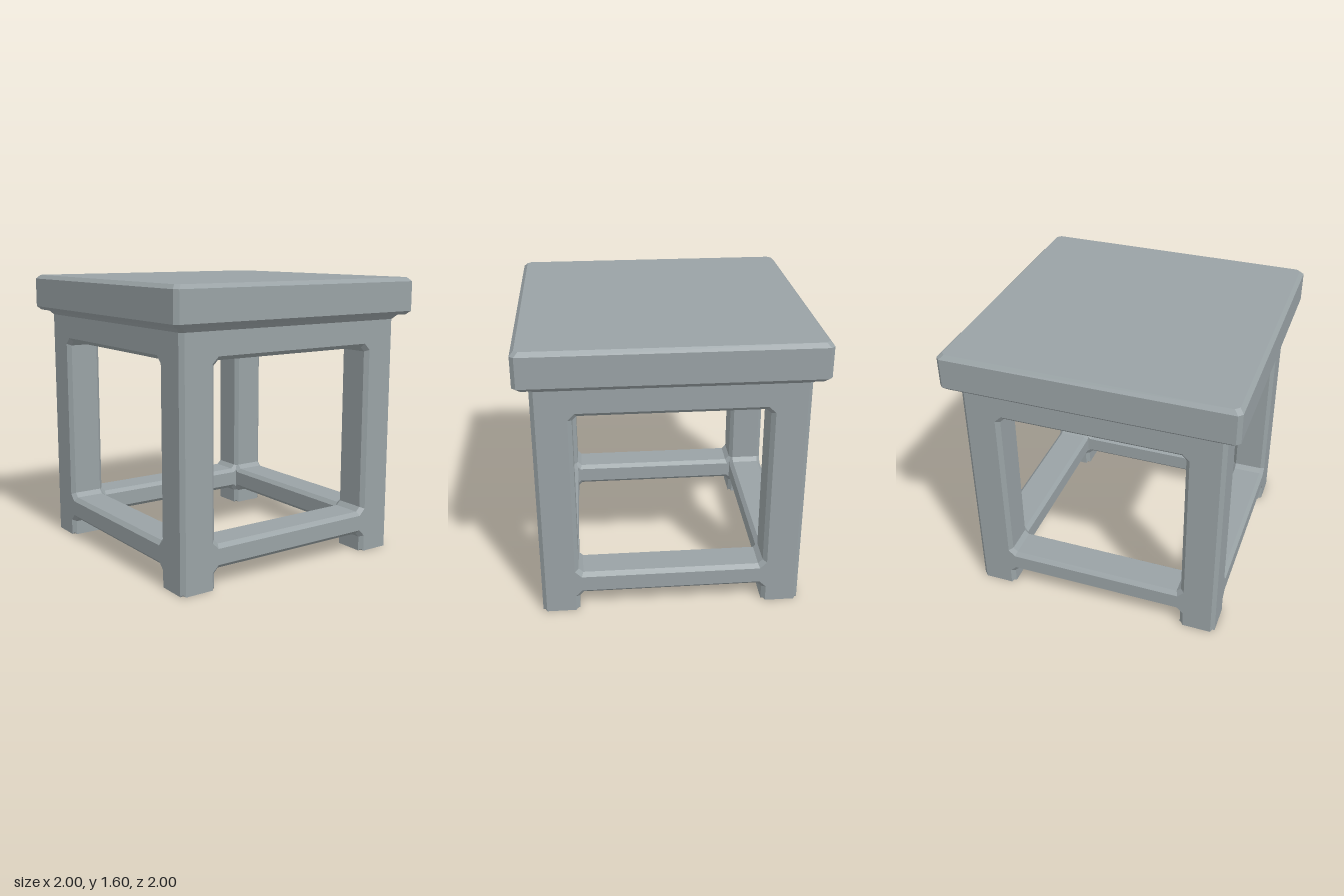
import * as THREE from 'three';

const OUTER = 0.73;   // half width of the frame
const INNER = 0.52;   // half width of the openings
const BEVEL = 0.022;
const FILLET = 0.025; // chamfer in the inside corners

const grey = new THREE.MeshStandardMaterial({ color: 0x99a2a5 });
grey.name = 'stoneGrey';

const points = (list) => list.map(([x, y]) => new THREE.Vector2(x, y));

// One bevelled side: two legs, stretcher and apron; neighbours share the corner legs
function sideFrameGeometry() {
  const a = INNER, b = INNER - FILLET, k = FILLET;
  const shape = new THREE.Shape(points([
    [-OUTER, 0], [-a, 0], [-a, 0.11 - k], [-b, 0.11], [b, 0.11], [a, 0.11 - k],
    [a, 0], [OUTER, 0], [OUTER, 1.395], [-OUTER, 1.395],
  ]));
  const low = 0.243, high = 1.21;
  shape.holes.push(new THREE.Path(points([
    [-b, low], [-a, low + k], [-a, high - k], [-b, high],
    [b, high], [a, high - k], [a, low + k], [b, low],
  ])));
  const geometry = new THREE.ExtrudeGeometry(shape, {
    depth: OUTER - INNER - 2 * BEVEL, bevelEnabled: true, bevelSegments: 1,
    bevelThickness: BEVEL, bevelSize: BEVEL, bevelOffset: -BEVEL,
  });
  return geometry.translate(0, 0, INNER + BEVEL);
}

// Square rings with cut corners, joined upwards and closed at the top
function slabGeometry(rings) {
  const loops = rings.map(([h, y]) => {
    const m = h - BEVEL;
    return [[m, h], [h, m], [h, -m], [m, -h], [-m, -h], [-h, -m], [-h, m], [-m, h]]
      .map(([x, z]) => [x, y, z]);
  });
  const pos = [];
  const add = (...corners) => corners.forEach((p) => pos.push(...p));
  for (let r = 0; r < loops.length - 1; r++) {
    for (let i = 0; i < 8; i++) {
      const j = (i + 1) % 8;
      const lower = loops[r], upper = loops[r + 1];
      add(lower[i], lower[j], upper[j], lower[i], upper[j], upper[i]);
    }
  }
  const lid = loops[loops.length - 1];
  for (let i = 1; i < 7; i++) add(lid[0], lid[i], lid[i + 1]);
  const geometry = new THREE.BufferGeometry();
  geometry.setAttribute('position', new THREE.Float32BufferAttribute(pos, 3));
  geometry.computeVertexNormals();
  return geometry;
}

export function createModel() {
  const table = new THREE.Group();
  table.name = 'table';

  const add = (name, geometry) => {
    const mesh = new THREE.Mesh(geometry, grey);
    mesh.name = name;
    table.add(mesh);
    return mesh;
  };

  // Four identical sides around the centre
  const side = sideFrameGeometry();
  ['frontFrame', 'leftFrame', 'backFrame', 'rightFrame'].forEach((name, i) => {
    add(name, side).rotation.y = i * Math.PI / 2;
  });

  // Solid underside filling the space between the aprons
  const core = add('underside', new THREE.BoxGeometry(1.16, 0.18, 1.16));
  core.position.y = 1.30;

  // Table top with a flared neck below the overhang
  add('tableTop', slabGeometry([
    [OUTER, 1.362], [0.757, 1.39], [0.786, 1.39],
    [0.807, 1.41], [0.807, 1.578], [0.785, 1.6],
  ]));

  // The whole table stands turned on its vertical axis
  table.rotation.y = THREE.MathUtils.degToRad(17);
  const model = new THREE.Group();
  model.name = 'model';
  model.add(table);
  return model;
}
